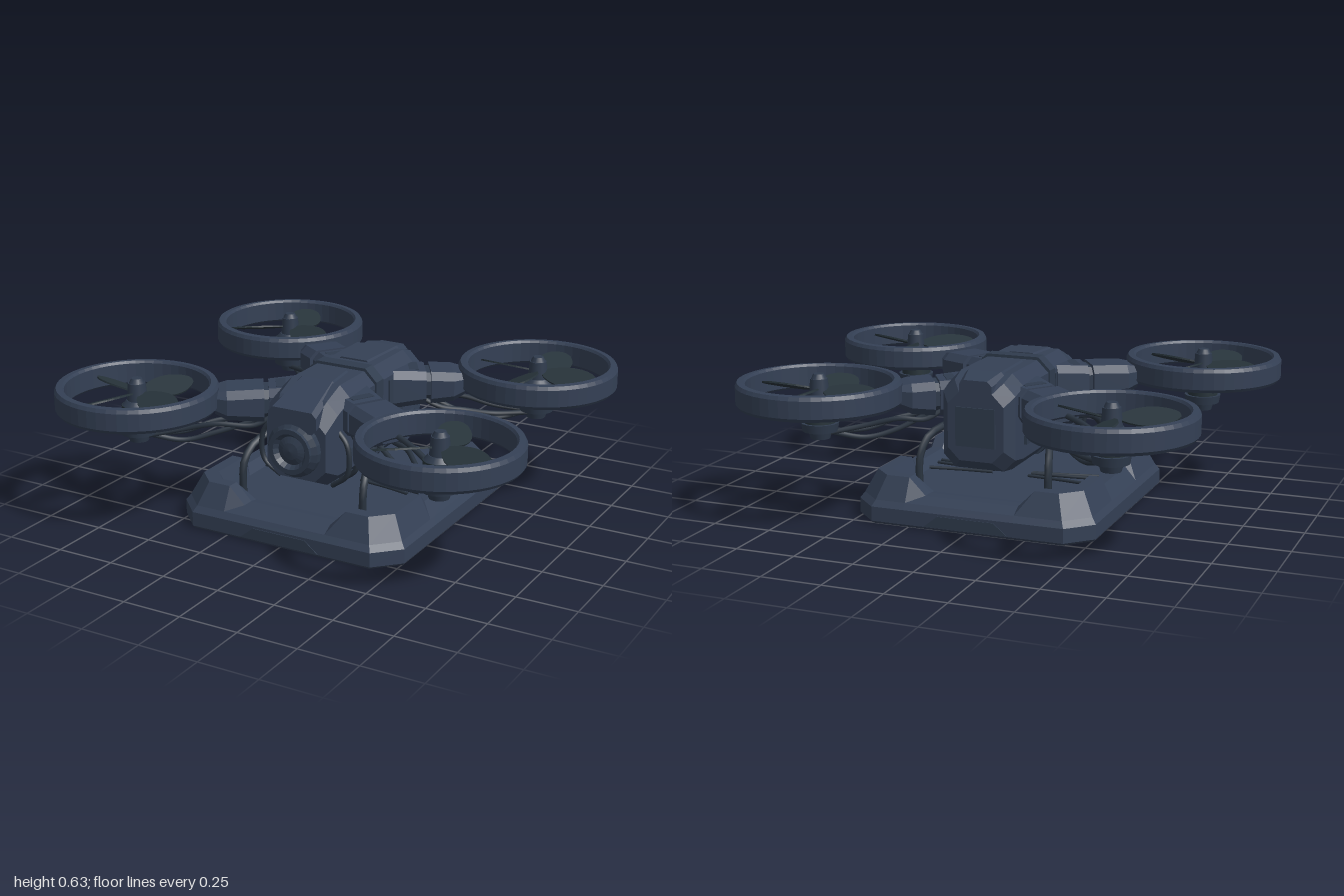
import * as THREE from 'three';

const mat = (name, color) => new THREE.MeshStandardMaterial({ name, color });
const V = (x, y, z) => new THREE.Vector3(x, y, z);

// Skins a list of closed loops (each an array of Vector3) and caps both ends, with flat faces.
function loft(loops) {
  const pos = [];
  const tri = (...p) => p.forEach(v => pos.push(v.x, v.y, v.z));
  const n = loops[0].length;
  for (let k = 0; k < loops.length - 1; k++) {
    for (let i = 0; i < n; i++) {
      const j = (i + 1) % n, a = loops[k], b = loops[k + 1];
      tri(a[i], a[j], b[j]);
      tri(a[i], b[j], b[i]);
    }
  }
  const cap = (loop, flip) => {
    const c = loop.reduce((s, p) => s.add(p), V(0, 0, 0)).divideScalar(n);
    loop.forEach((p, i) => {
      const q = loop[(i + 1) % n];
      flip ? tri(c, q, p) : tri(c, p, q);
    });
  };
  cap(loops[0], true);
  cap(loops[loops.length - 1], false);
  const g = new THREE.BufferGeometry();
  g.setAttribute('position', new THREE.Float32BufferAttribute(pos, 3));
  g.computeVertexNormals();
  return g;
}

// Flat-shaded lathe from [radius, height] pairs
function lathe(profile, sides) {
  const g = new THREE.LatheGeometry(profile.map(p => new THREE.Vector2(...p)), sides).toNonIndexed();
  g.computeVertexNormals();
  return g;
}

// Chamfered rectangle loop in the XY plane at depth z
function section(w, y0, y1, c, z) {
  return [[w, y0 + c], [w, y1 - c], [w - c, y1], [c - w, y1], [-w, y1 - c], [-w, y0 + c], [c - w, y0], [w - c, y0]]
    .map(([x, y]) => V(x, y, z));
}

// Landing pad outline: inset d, height y, with lower notches in the middle of each side
function padLoop(d, y, notched) {
  const hx = 0.512 - d, hz = 0.537 - d, c = 0.1 - d * 0.35, pts = [];
  for (let k = 0; k < 4; k++) {
    const ends = k % 2 === 0;
    const len = (ends ? hx : hz) - c, out = ends ? hz : hx;
    const n1 = ends ? 0.2 : 0.14, n2 = ends ? 0.27 : 0.18, low = ends ? 0.12 : 0.15;
    for (const t of [-len, -n2, -n1, n1, n2, len]) {
      const py = notched && Math.abs(t) === n1 ? Math.min(y, low) : y;
      const [x, z] = [[t, out], [out, -t], [-t, -out], [-out, t]][k];
      pts.push(V(x, py, z + 0.025));
    }
  }
  return pts;
}

export function createModel() {
  const hull = mat('slate hull', 0x344055);
  const trim = mat('dark slate trim', 0x2f3b4d);
  const propeller = mat('propeller grey', 0x27333a);
  const cable = mat('cable', 0x29333f);
  const root = new THREE.Group();
  root.name = 'quadcopterOnPad';

  const add = (name, geo, m, parent = root, p = [0, 0, 0]) => {
    const mesh = new THREE.Mesh(geo, m);
    mesh.name = name;
    mesh.position.set(...p);
    parent.add(mesh);
    return mesh;
  };
  const box = (w, h, d) => new THREE.BoxGeometry(w, h, d);
  const cyl = (a, b, h, s = 20) => new THREE.CylinderGeometry(a, b, h, s);
  const tube = (name, pts, r, parent = root) => add(name,
    new THREE.TubeGeometry(new THREE.CatmullRomCurve3(pts.map(p => V(...p))), 24, r, 7), cable, parent);

  // Landing pad with raised corners and a sunken floor
  add('landingPad', loft([padLoop(0.008, 0), padLoop(0, 0.01), padLoop(0, 0.07), padLoop(0.018, 0.095), padLoop(0.065, 0.19, true),
    padLoop(0.115, 0.19, true), padLoop(0.15, 0.115)]), hull);
  for (const s of [1, -1]) {
    const plate = new THREE.Shape([[-0.18, 0.012], [0.18, 0.012], [0.12, 0.06], [-0.12, 0.06]].map(p => new THREE.Vector2(...p)));
    const g = new THREE.ExtrudeGeometry(plate, { depth: 0.005, bevelEnabled: false });
    add('padPlate', g, trim, root, [0, 0, 0.025 + s * 0.535]).rotation.y = s > 0 ? 0 : Math.PI;
  }

  // Body
  add('body', loft([
    section(0.12, 0.27, 0.55, 0.05, -0.4), section(0.155, 0.23, 0.59, 0.05, -0.36), section(0.16, 0.22, 0.615, 0.05, -0.28),
    section(0.16, 0.22, 0.615, 0.05, 0.26), section(0.158, 0.222, 0.575, 0.05, 0.36), section(0.135, 0.25, 0.51, 0.05, 0.42)]), hull);
  add('bodyBand', loft([section(0.167, 0.213, 0.627, 0.052, 0), section(0.167, 0.213, 0.627, 0.052, 0.06)]), trim);
  add('rearSpine', loft([section(0.07, 0.5, 0.6, 0.02, -0.4), section(0.09, 0.5, 0.622, 0.02, -0.3), section(0.08, 0.5, 0.622, 0.02, -0.05)]), hull);
  add('frontSpine', loft([section(0.07, 0.5, 0.622, 0.02, 0.1), section(0.09, 0.5, 0.622, 0.02, 0.25), section(0.11, 0.46, 0.55, 0.02, 0.45)]), hull);
  add('rearHatch', box(0.17, 0.16, 0.008), trim, root, [0, 0.41, -0.402]);

  // Front camera
  add('camera', lathe([[0, 0], [0.115, 0], [0.115, 0.03], [0.095, 0.045], [0.095, 0.06], [0.075, 0.06], [0.06, 0.04], [0.035, 0.05], [0, 0.055]], 20),
    trim, root, [0, 0.38, 0.415]).rotation.x = Math.PI / 2;

  // Side fittings and landing legs
  for (const s of [1, -1]) {
    for (const z of [-0.12, 0.13]) add('sidePanel', box(0.02, 0.16, 0.12), trim, root, [s * 0.157, 0.47, z]);
    add('lowerRail', box(0.025, 0.035, 0.56), trim, root, [s * 0.16, 0.345, 0]);
    tube('landingLeg', [[s * 0.28, 0.11, 0.38], [s * 0.28, 0.25, 0.37], [s * 0.265, 0.32, 0.31], [s * 0.23, 0.35, 0.2], [s * 0.2, 0.355, 0],
      [s * 0.23, 0.35, -0.16], [s * 0.265, 0.32, -0.27], [s * 0.28, 0.25, -0.32], [s * 0.28, 0.11, -0.33]], 0.016);
    // Slack lines lying on the pad floor
    for (const z of [-0.04, 0.03, 0.06]) {
      tube('padLine', [[s * 0.08, 0.122, z * 0.5], [s * 0.22, 0.122, z * 0.8], [s * 0.36, 0.122, z * 1.3]], 0.007);
    }
    for (const z of [0.27, 0.34]) {
      tube('bodyHose', [[s * 0.14, 0.46, z], [s * 0.195, 0.4, z + 0.01], [s * 0.195, 0.28, z + 0.01], [s * 0.12, 0.215, z]], 0.011);
    }
  }

  // Shared rotor parts
  const blade = new THREE.Shape();
  blade.moveTo(0.02, -0.012);
  blade.bezierCurveTo(0.1, -0.09, 0.2, -0.085, 0.265, -0.02);
  blade.quadraticCurveTo(0.278, 0.005, 0.262, 0.025);
  blade.bezierCurveTo(0.2, 0.08, 0.1, 0.07, 0.02, 0.012);
  const bladeGeo = new THREE.ExtrudeGeometry(blade, { depth: 0.007, bevelEnabled: false, curveSegments: 8 });
  bladeGeo.rotateX(-Math.PI / 2 + 0.35);

  // x, z, outer radius, blade count, first blade angle in degrees
  const rotors = [
    [-0.617, -0.555, 0.333, 3, 95], [0.635, -0.51, 0.335, 4, 85],
    [-0.672, 0.552, 0.333, 4, 70], [0.675, 0.502, 0.324, 3, 97]];
  for (const [x, z, R, count, start] of rotors) {
    const rotor = new THREE.Group();
    rotor.name = 'rotor';
    rotor.position.set(x, 0, z);
    root.add(rotor);

    // Guard ring
    add('guardRing', lathe([[R - 0.04, 0.487], [R - 0.032, 0.478], [R - 0.01, 0.478], [R, 0.492], [R, 0.563], [R - 0.008, 0.578],
      [R - 0.032, 0.58], [R - 0.04, 0.57], [R - 0.04, 0.487]], 48), hull, rotor);

    // Motor and hub
    add('motor', cyl(0.065, 0.065, 0.1), propeller, rotor, [0, 0.44, 0]);
    add('motorFlange', cyl(0.078, 0.072, 0.035), trim, rotor, [0, 0.385, 0]);
    add('motorFoot', cyl(0.05, 0.04, 0.035), trim, rotor, [0, 0.353, 0]);
    add('motorCap', cyl(0.045, 0.062, 0.02), trim, rotor, [0, 0.5, 0]);
    add('hub', cyl(0.036, 0.042, 0.075, 14), trim, rotor, [0, 0.545, 0]);
    add('hubCap', cyl(0.022, 0.032, 0.02, 14), trim, rotor, [0, 0.592, 0]);
    for (let i = 0; i < count; i++) {
      add('blade', bladeGeo, propeller, rotor, [0, 0.535, 0]).rotation.y = THREE.MathUtils.degToRad(start) + i * 2 * Math.PI / count;
    }

    // Arm, with its own +z pointing from the body to the hub
    const ax = Math.sign(x) * 0.11, az = Math.sign(z) * 0.18;
    const arm = new THREE.Group();
    arm.name = 'arm';
    arm.position.set(ax, 0, az);
    arm.rotation.y = Math.atan2(x - ax, z - az);
    root.add(arm);
    const D = Math.hypot(x - ax, z - az), end = D - R + 0.02;
    add('armRoot', loft([section(0.11, 0.41, 0.575, 0.03, 0), section(0.095, 0.425, 0.565, 0.03, 0.14)]), hull, arm);
    add('armCollar', loft([section(0.08, 0.435, 0.555, 0.03, 0.13), section(0.08, 0.435, 0.555, 0.03, 0.17)]), trim, arm);
    add('armEnd', loft([section(0.1, 0.425, 0.565, 0.03, 0.16), section(0.1, 0.435, 0.56, 0.03, end - 0.05), section(0.075, 0.46, 0.55, 0.02, end)]), hull, arm);
    add('armPlate', box(0.1, 0.008, 0.08), trim, arm, [0, 0.566, 0.07]);
    tube('strut', [[0, 0.49, end - 0.03], [0, 0.475, D - 0.18], [0, 0.44, D - 0.04]], 0.012, arm);

    // Hanging cables from the arm, gathered under the strut to the motor foot
    for (const [off, sag] of [[-0.055, 0.36], [0.005, 0.33], [0.055, 0.385]]) {
      tube('motorCable', [[off, 0.45, 0.12], [off * 1.2, 0.41, 0.2], [off, sag + 0.03, end],
        [off * 0.4, sag, end + 0.13], [off * 0.3, 0.36, D - 0.04]], 0.011, arm);
    }
  }
  return root;
}
